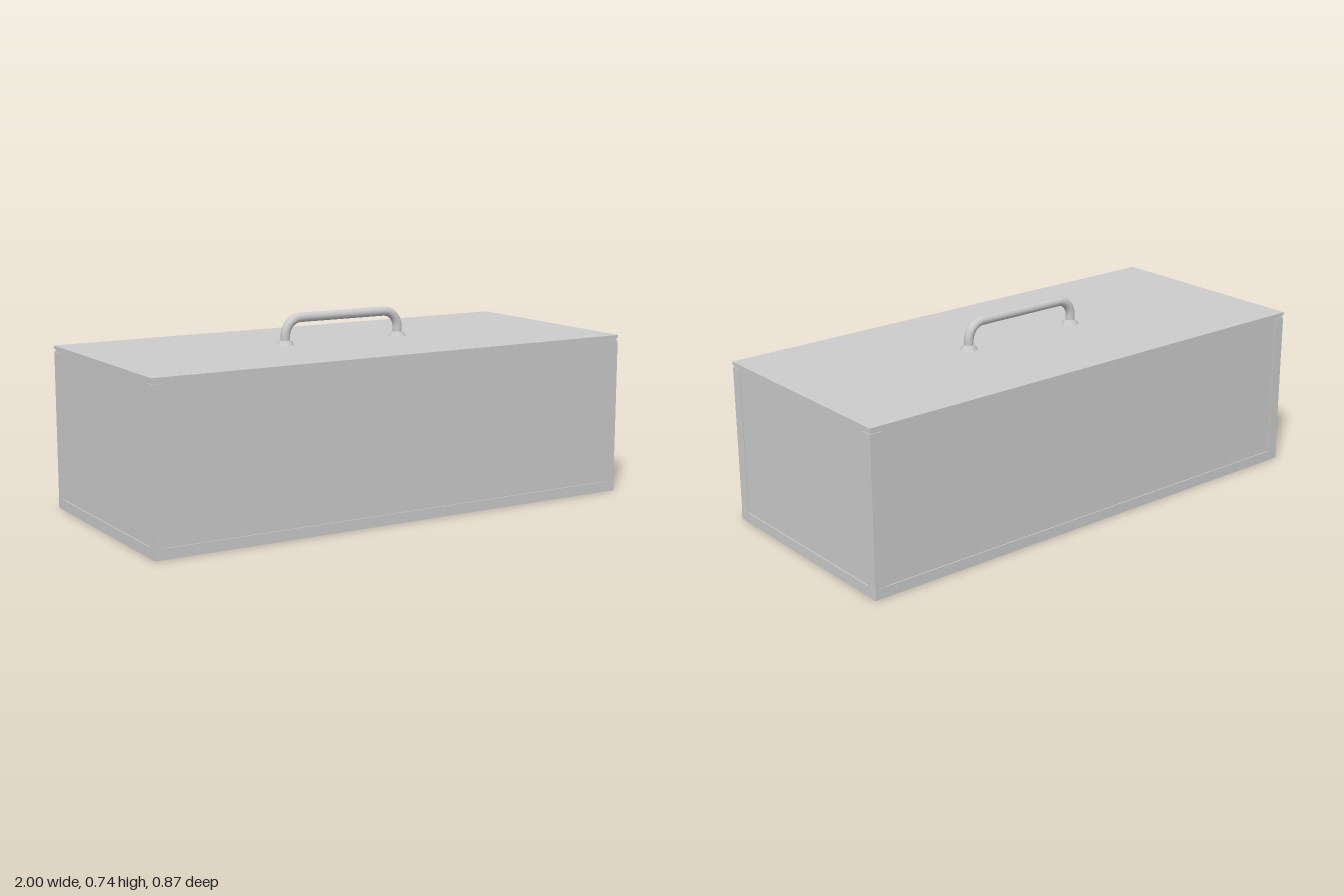
import * as THREE from 'three';

const material = new THREE.MeshStandardMaterial({ color: 0xcccccc });

export function createModel() {
  const model = new THREE.Group();
  model.name = 'toolbox';

  const add = (name, geometry, x, y, z) => {
    const mesh = new THREE.Mesh(geometry, material);
    mesh.name = name;
    mesh.position.set(x, y, z);
    model.add(mesh);
    return mesh;
  };
  const box = (name, w, h, d, x, y, z) => add(name, new THREE.BoxGeometry(w, h, d), x, y, z);

  const W = 2, D = 0.874, H = 0.625;
  const lid = 0.012, band = 0.04, inset = 0.004, post = 0.045;

  // Body with slightly recessed side and bottom panels
  const bodyH = H - lid - inset;
  box('body', W - 2 * inset, bodyH, D - 2 * inset, 0, inset + bodyH / 2, 0);

  // Flat lid plate
  box('lid', W, lid, D, 0, H - lid / 2, 0);

  // Raised band around the foot
  const rim = 0.03;
  for (const s of [-1, 1]) {
    box('baseRailLong', W, band, rim, 0, band / 2, s * (D - rim) / 2);
    box('baseRailShort', rim, band, D - 2 * rim, s * (W - rim) / 2, band / 2, 0);
  }

  // Corner posts, ending just below the lid
  const postH = H - lid - 0.01 - band;
  for (const sx of [-1, 1]) for (const sz of [-1, 1]) {
    box('cornerPost', post, postH, post,
      sx * (W - 0.002 - post) / 2, band + postH / 2, sz * (D - 0.002 - post) / 2);
  }

  // Bent carrying handle
  const hx = 0.25, top = 0.725, bend = 0.065;
  const path = new THREE.CurvePath();
  const v = (x, y) => new THREE.Vector3(x, y, 0);
  const k = bend * 0.448;
  path.add(new THREE.LineCurve3(v(-hx, H), v(-hx, top - bend)));
  path.add(new THREE.CubicBezierCurve3(v(-hx, top - bend), v(-hx, top - k), v(-hx + k, top), v(-hx + bend, top)));
  path.add(new THREE.LineCurve3(v(-hx + bend, top), v(hx - bend, top)));
  path.add(new THREE.CubicBezierCurve3(v(hx - bend, top), v(hx - k, top), v(hx, top - k), v(hx, top - bend)));
  path.add(new THREE.LineCurve3(v(hx, top - bend), v(hx, H)));
  add('handle', new THREE.TubeGeometry(path, 96, 0.018, 16), 0, 0, 0);

  // Flared collars where the handle meets the lid
  for (const s of [-1, 1]) {
    add('handleCollar', new THREE.CylinderGeometry(0.023, 0.033, 0.017, 24), s * hx, H + 0.0085, 0);
  }

  return model;
}
